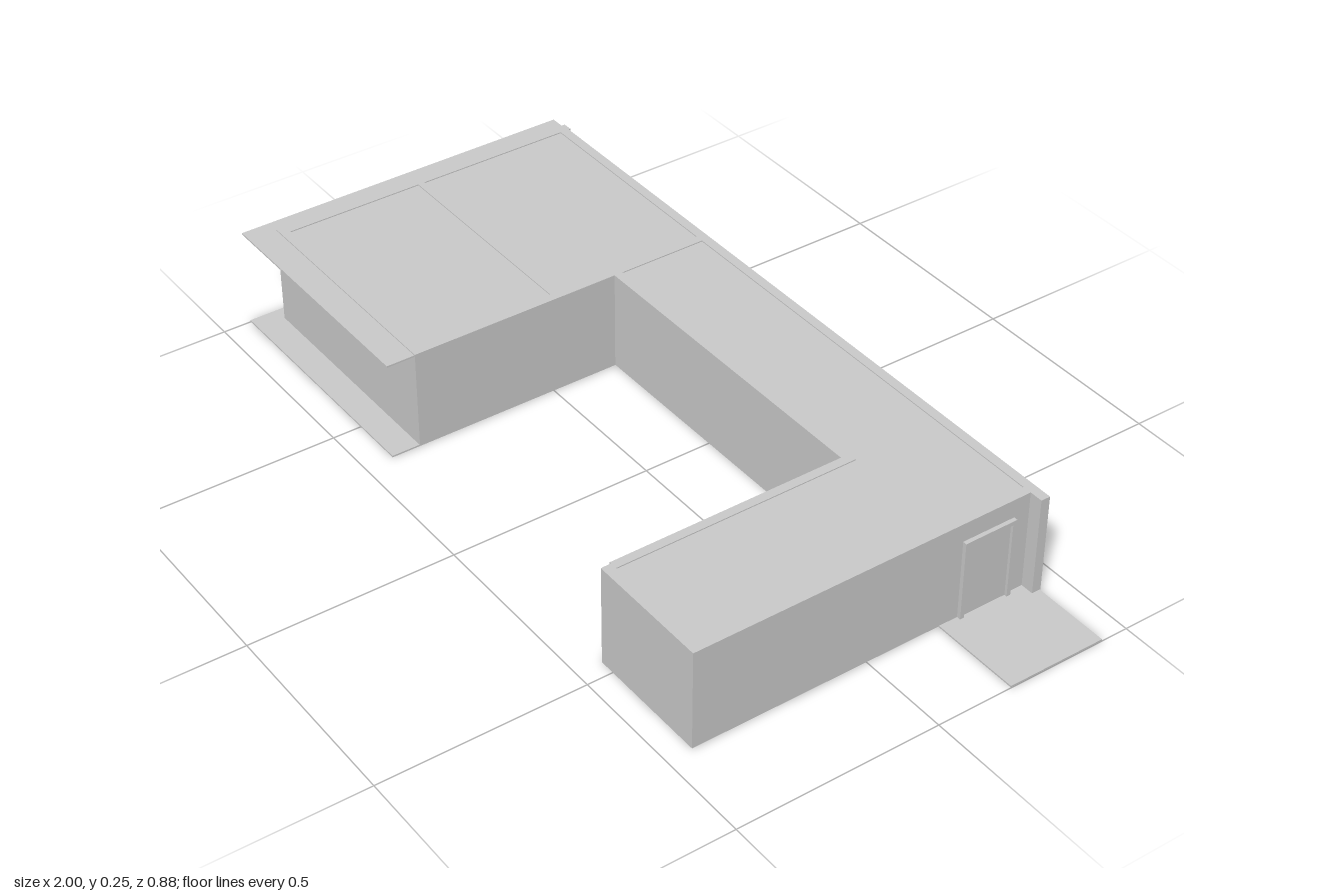
import * as THREE from 'three';

const material = new THREE.MeshStandardMaterial({ color: 0xcccccc, flatShading: true });
const WALL_BOTTOM = 0.004, WALL_TOP = 0.252;

function addMesh(parent, name, geometry) {
  const mesh = new THREE.Mesh(geometry, material);
  mesh.name = name;
  parent.add(mesh);
  return mesh;
}

// Box given by its extents
function addBox(parent, name, x0, x1, y0, y1, z0, z1) {
  const mesh = addMesh(parent, name, new THREE.BoxGeometry(x1 - x0, y1 - y0, z1 - z0));
  mesh.position.set((x0 + x1) / 2, (y0 + y1) / 2, (z0 + z1) / 2);
  return mesh;
}

// Flat slab from an outline of [x, z] corners
function addSlab(parent, name, outline, top, thickness) {
  const shape = new THREE.Shape(outline.map(([x, z]) => new THREE.Vector2(x, z)));
  const geometry = new THREE.ExtrudeGeometry(shape, { depth: thickness, bevelEnabled: false });
  geometry.rotateX(Math.PI / 2);
  addMesh(parent, name, geometry).position.y = top;
}

// Rectangular frame, standing on its local y = 0 and facing +z
function frameGeometry(width, height, depth, border, sill) {
  const w = width / 2, i = w - border;
  const shape = new THREE.Shape([[-w, 0], [w, 0], [w, height], [-w, height]].map(p => new THREE.Vector2(...p)));
  shape.holes.push(new THREE.Path([[-i, sill], [-i, height - border], [i, height - border], [i, sill]]
    .map(p => new THREE.Vector2(...p))));
  return new THREE.ExtrudeGeometry(shape, { depth, bevelEnabled: false });
}

function createDoor(name) {
  const door = new THREE.Group();
  door.name = name;
  addMesh(door, 'doorFrame', frameGeometry(0.136, 0.205, 0.012, 0.01, 0.001));
  addBox(door, 'doorLeaf', -0.058, 0.058, 0.001, 0.196, 0, 0.005);
  return door;
}

function createWindow(name) {
  const win = new THREE.Group();
  win.name = name;
  addMesh(win, 'windowFrame', frameGeometry(0.085, 0.115, 0.012, 0.01, 0.01));
  addBox(win, 'windowPane', -0.035, 0.035, 0.008, 0.107, 0, 0.003);
  addBox(win, 'windowMullion', -0.003, 0.003, 0.01, 0.105, 0.002, 0.008);
  addBox(win, 'windowTransom', -0.033, 0.033, 0.055, 0.061, 0.002, 0.008);
  return win;
}

function place(parent, part, x, y, z, turn) {
  part.position.set(x, y, z);
  part.rotation.y = turn;
  parent.add(part);
}

export function createModel() {
  const building = new THREE.Group();
  building.name = 'building';

  // Floor: left wing, back corridor and landing beside the right door
  addSlab(building, 'floor', [
    [-1, -0.433], [1, -0.433], [1, -0.188], [0.46, -0.188], [0.46, -0.17],
    [-0.362, -0.17], [-0.362, 0.43], [-1, 0.43],
  ], 0.005, 0.004);

  // U-shaped roof, overhanging the left wing at its front and outer side
  addSlab(building, 'roof', [
    [-1, -0.433], [0.774, -0.433], [0.774, 0.435], [0.462, 0.435], [0.462, -0.172],
    [-0.362, -0.172], [-0.362, 0.43], [-1, 0.43],
  ], 0.2495, 0.004);

  // Walls: name, x0, x1, z0, z1
  const walls = [
    ['backWall', -0.96, 0.808, -0.435, -0.412],
    ['leftWingOuterWall', -0.962, -0.938, -0.44, 0.36],
    ['leftWingFrontWall', -0.938, -0.38, 0.338, 0.36],
    ['leftWingInnerWall', -0.382, -0.36, -0.412, 0.36],
    ['leftWingPartition', -0.938, -0.382, -0.025, -0.008],
    ['courtyardWall', -0.36, 0.46, -0.19, -0.168],
    ['rightWingInnerWall', 0.46, 0.482, -0.19, 0.415],
    ['rightWingFrontWall', 0.465, 0.775, 0.415, 0.44],
    ['rightWingOuterWall', 0.753, 0.775, -0.412, 0.415],
  ];
  for (const [name, x0, x1, z0, z1] of walls) addBox(building, name, x0, x1, WALL_BOTTOM, WALL_TOP, z0, z1);

  // Doors: outside at the back and right, inside the left wing
  place(building, createDoor('backDoor'), -0.11, 0.003, -0.432, Math.PI);
  place(building, createDoor('rightDoor'), 0.773, 0.0005, -0.304, Math.PI / 2);
  place(building, createDoor('partitionDoor'), -0.64, 0, -0.01, 0);
  place(building, createDoor('leftWingInsideDoor'), -0.64, 0, 0.339, Math.PI);

  // Windows in the outer wall of the left wing
  for (const z of [-0.23, 0.21]) {
    place(building, createWindow('leftWindow'), -0.96, 0.115, z, -Math.PI / 2);
  }

  return building;
}
